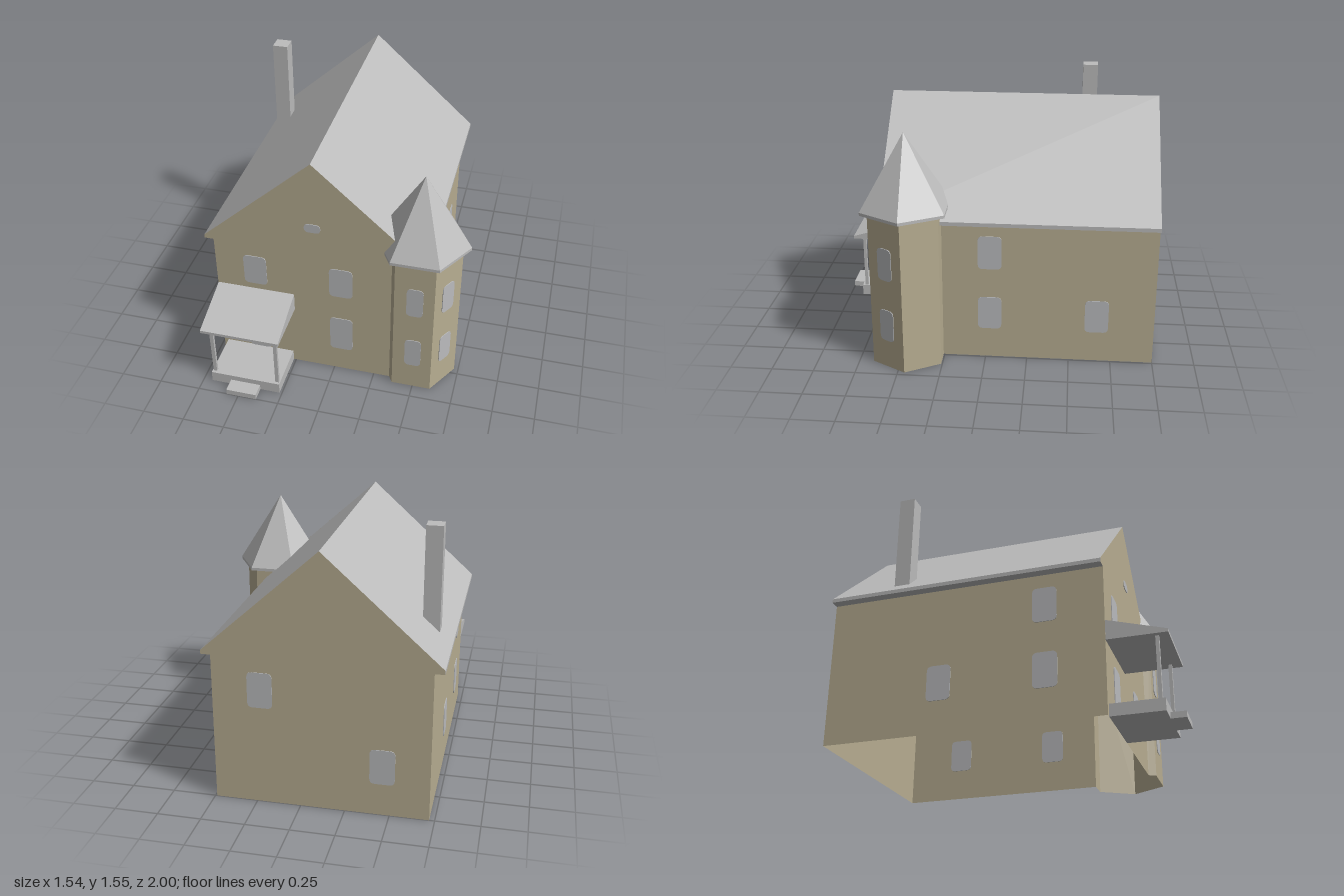
import * as THREE from 'three';

const D = THREE.DoubleSide;
const wallTan = new THREE.MeshStandardMaterial({ color: 0xb8ae92, flatShading: true, side: D });
const roofGrey = new THREE.MeshStandardMaterial({ color: 0xbcbcbc, flatShading: true, side: D });
const glassGrey = new THREE.MeshStandardMaterial({ color: 0xbbbcbe, flatShading: true, side: D });

// Sweeps an open polyline of 3D points along one direction into flat panels
function strip(points, dir) {
  const pos = [];
  for (let i = 0; i < points.length - 1; i++) {
    const a = points[i], b = points[i + 1];
    const c = b.map((v, k) => v + dir[k]), d = a.map((v, k) => v + dir[k]);
    pos.push(...a, ...b, ...c, ...a, ...c, ...d);
  }
  const g = new THREE.BufferGeometry();
  g.setAttribute('position', new THREE.Float32BufferAttribute(pos, 3));
  g.computeVertexNormals();
  return g;
}

const outline = (pts) => new THREE.Shape(pts.map(([x, y]) => new THREE.Vector2(x, y)));

function roundedRect(w, h, r) {
  const s = new THREE.Shape(), x = w / 2, y = h / 2;
  s.moveTo(-x + r, -y);
  s.lineTo(x - r, -y); s.quadraticCurveTo(x, -y, x, -y + r);
  s.lineTo(x, y - r); s.quadraticCurveTo(x, y, x - r, y);
  s.lineTo(-x + r, y); s.quadraticCurveTo(-x, y, -x, y - r);
  s.lineTo(-x, -y + r); s.quadraticCurveTo(-x, -y, -x + r, -y);
  return s;
}

export function createModel() {
  const model = new THREE.Group();
  const add = (name, geo, mat) => {
    const m = new THREE.Mesh(geo, mat);
    m.name = name;
    model.add(m);
    return m;
  };
  const box = (name, x0, x1, y0, y1, z0, z1) => add(name,
    new THREE.BoxGeometry(x1 - x0, y1 - y0, z1 - z0)
      .translate((x0 + x1) / 2, (y0 + y1) / 2, (z0 + z1) / 2), roofGrey);

  const L = -0.72, R = 0.49, F = 0.62, B = -1, mid = -0.115;
  const eaveL = -0.775, eaveR = 0.545, soffit = 0.87, eave = 0.893, ridge = 1.487;

  // Gable walls; the front one leaves room for the corner tower
  const leftHalf = [[mid, ridge], [eaveL, eave], [eaveL, soffit], [L, soffit], [L, 0]];
  add('frontWall', new THREE.ShapeGeometry(outline(
    [...leftHalf, [0.347, 0], [0.347, 0.95], [0.482, 0.95]])).translate(0, 0, F), wallTan);
  add('backWall', new THREE.ShapeGeometry(outline(
    [...leftHalf, [R, 0], [R, soffit], [eaveR, soffit], [eaveR, eave]])).translate(0, 0, B), wallTan);

  // Side walls
  add('leftWall', strip([[L, 0, B], [L, 0, F]], [0, soffit, 0]), wallTan);
  add('rightWall', strip([[R, 0, B], [R, 0, 0.257]], [0, soffit, 0]), wallTan);

  // Main roof with fascias and soffits
  add('mainRoof', strip([[L, soffit, B], [eaveL, soffit, B], [eaveL, eave, B], [mid, ridge, B],
    [eaveR, eave, B], [eaveR, soffit, B], [R, soffit, B]], [0, 0, F - B]), roofGrey);
  box('chimney', -0.702, -0.607, 0.92, 1.555, -0.64, -0.545);

  // Six-sided corner tower, open towards the house
  const tx = 0.49, tz = 0.46, tr = 0.235, h = 0.2035;
  add('towerWall', strip([[0.347, 0, F], [tx - tr / 2, 0, tz + h], [tx + tr / 2, 0, tz + h],
    [tx + tr, 0, tz], [tx + tr / 2, 0, tz - h], [tx, 0, tz - h]], [0, 0.95, 0]), wallTan);
  const hexAt = (g, y) => g.translate(tx, y, tz);
  add('towerRoof', hexAt(new THREE.ConeGeometry(0.28, 0.437, 6, 1, true, Math.PI / 6), 1.1865), roofGrey);
  add('towerRoofRim', hexAt(new THREE.CylinderGeometry(0.28, 0.28, 0.018, 6, 1, true, Math.PI / 6), 0.959), roofGrey);
  add('towerSoffit', hexAt(new THREE.RingGeometry(0.23, 0.28, 6).rotateX(Math.PI / 2), 0.95), roofGrey);

  // Porch
  box('porchFloor', -0.695, -0.265, 0, 0.07, F, 0.915);
  box('porchStep', -0.572, -0.387, 0, 0.035, 0.915, 1);
  for (const x of [-0.677, -0.283]) box('porchPost', x - 0.011, x + 0.011, 0.07, 0.425, 0.879, 0.898);
  add('porchRoof', new THREE.ExtrudeGeometry(
    outline([[0.615, 0.425], [0.953, 0.425], [0.953, 0.443], [0.615, 0.543]]),
    { depth: 0.476, bevelEnabled: false }).rotateY(-Math.PI / 2).translate(-0.242, 0, 0), roofGrey);

  // Windows and door: thin plates set through the walls
  const pane = (name, x, y, z, angle, w, ht, r = 0.03) => {
    const g = new THREE.ExtrudeGeometry(roundedRect(w, ht, r),
      { depth: 0.008, bevelEnabled: false, curveSegments: 5 }).translate(0, 0, -0.004);
    const m = add(name, g, glassGrey);
    m.position.set(x, y, z);
    m.rotation.y = angle;
  };
  const up = 0.685, low = 0.295, q = Math.PI / 2;
  pane('door', -0.475, 0.21, F, 0, 0.14, 0.28);
  pane('atticWindow', mid, 1.057, F, 0, 0.096, 0.056, 0.027);
  pane('frontWindow', -0.475, up, F, 0, 0.14, 0.205);
  pane('frontWindow', 0.047, up, F, 0, 0.14, 0.205);
  pane('frontWindow', 0.047, 0.288, F, 0, 0.14, 0.245);
  for (const [z, y] of [[-0.025, up], [-0.025, low], [-0.66, low]]) pane('rightWindow', R, y, z, q, 0.14, 0.207);
  for (const [z, y] of [[0.285, up], [0.285, low], [-0.325, low]]) pane('leftWindow', L, y, z, q, 0.14, 0.207);
  for (const [x, y] of [[0.22, up], [-0.457, low]]) pane('backWindow', x, y, B, 0, 0.14, 0.207);
  for (const y of [0.668, 0.277]) {
    pane('towerWindow', 0.494, y, tz + h, 0, 0.097, 0.2);
    pane('towerWindow', tx + tr * 0.75, y, tz + h / 2, Math.PI / 3, 0.1, 0.2);
  }
  return model;
}
